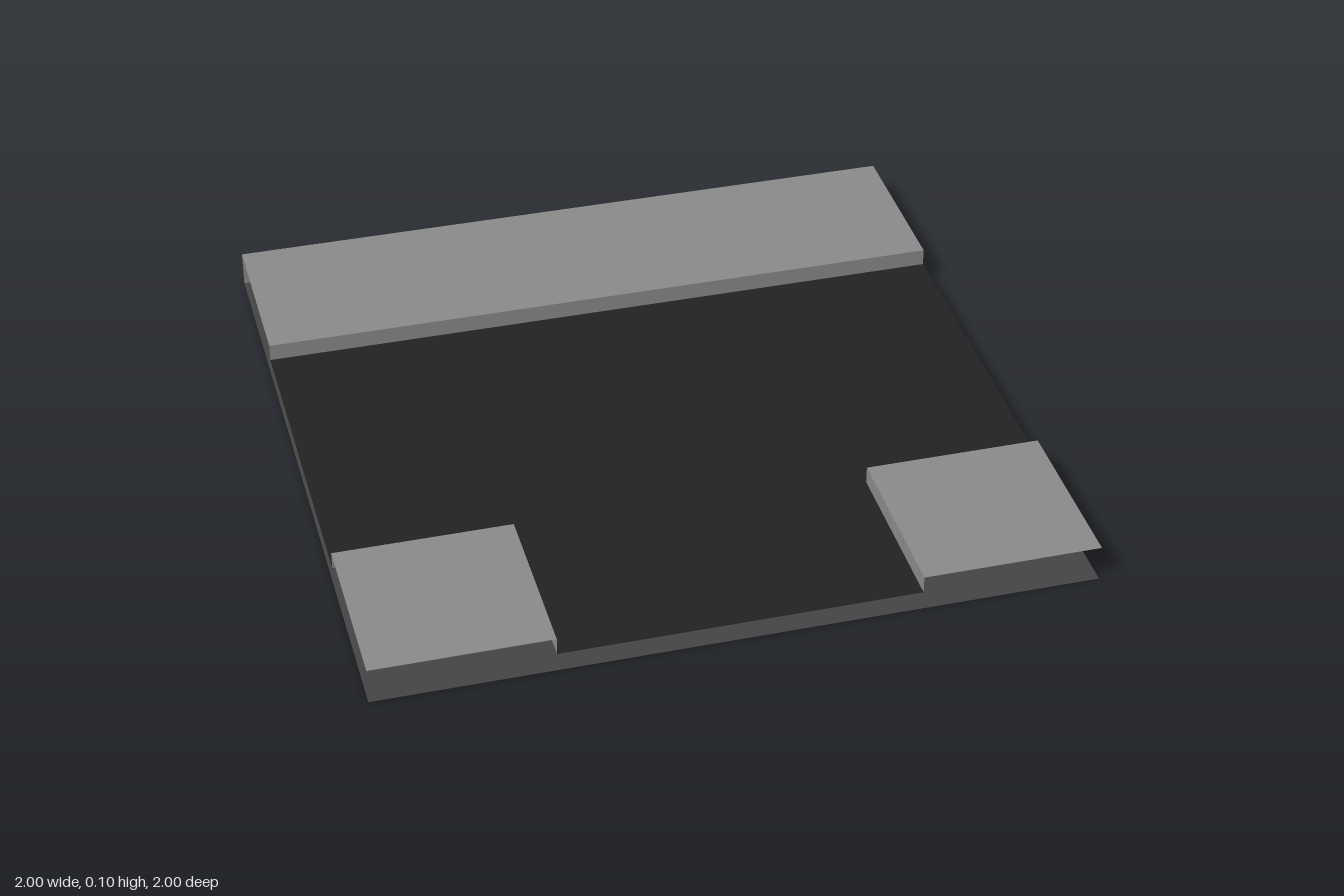
import * as THREE from 'three';

const FLOOR = 0.055; // road height
const TOP = 0.105;   // kerb height

export function createModel() {
  const make = (name, color) => {
    const m = new THREE.MeshStandardMaterial({ color, side: THREE.DoubleSide });
    m.name = name;
    return m;
  };
  const kerbGrey = make('kerb grey', 0x888888);
  const roadBlack = make('road black', 0x222222);
  const baseGrey = make('base dark grey', 0x444444);

  const model = new THREE.Group();
  model.name = 'roadTile';

  const add = (parent, name, geometry, material) => {
    const mesh = new THREE.Mesh(geometry, material);
    mesh.name = name;
    parent.add(mesh);
  };
  // Horizontal sheet; faces up unless down is set
  const sheet = (x0, x1, z0, z1, y, down = false) =>
    new THREE.PlaneGeometry(x1 - x0, z1 - z0)
      .rotateX(down ? Math.PI / 2 : -Math.PI / 2)
      .translate((x0 + x1) / 2, y, (z0 + z1) / 2);
  // Upright sheet centred on (x, z), turned about y
  const wall = (width, y0, y1, x, z, turn) =>
    new THREE.PlaneGeometry(width, y1 - y0)
      .rotateY(turn)
      .translate(x, (y0 + y1) / 2, z);

  // Underside of the tile
  add(model, 'base', sheet(-1, 1, -1, 1, 0, true), baseGrey);

  // T-shaped road surface
  const road = new THREE.Group();
  road.name = 'road';
  add(road, 'mainRoad', sheet(-1, 1, -0.5, 0.5, FLOOR), roadBlack);
  add(road, 'sideRoad', sheet(-0.5, 0.5, 0.5, 1, FLOOR), roadBlack);
  model.add(road);

  // Long pavement at the back, open at both ends
  const back = new THREE.Group();
  back.name = 'backPavement';
  add(back, 'backPavementTop', sheet(-1, 1, -1, -0.5, TOP), kerbGrey);
  add(back, 'backPavementKerb', wall(2, FLOOR, TOP, 0, -0.5, 0), kerbGrey);
  add(back, 'backWall', wall(2, 0, TOP, 0, -1, Math.PI), kerbGrey);
  model.add(back);

  // Two front corner pavements, open on the outer sides
  for (const s of [-1, 1]) {
    const corner = new THREE.Group();
    corner.name = s > 0 ? 'leftCornerPavement' : 'rightCornerPavement';
    const x = 0.75 * s;
    add(corner, 'cornerTop', sheet(x - 0.25, x + 0.25, 0.5, 1, TOP), kerbGrey);
    add(corner, 'cornerBackKerb', wall(0.5, FLOOR, TOP, x, 0.5, Math.PI), kerbGrey);
    add(corner, 'cornerSideKerb', wall(0.5, FLOOR, TOP, 0.5 * s, 0.75, -s * Math.PI / 2), kerbGrey);
    model.add(corner);
  }
  return model;
}
